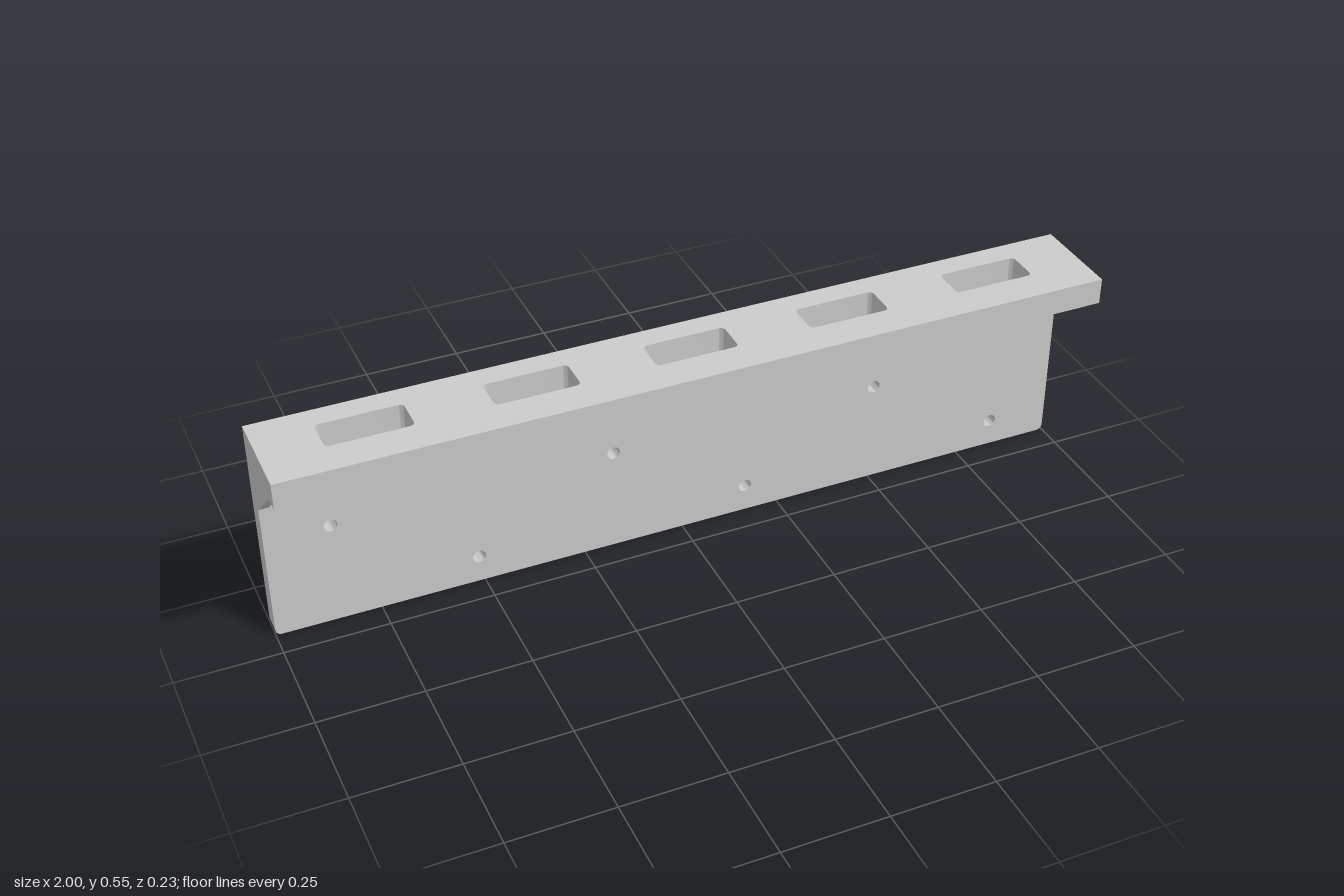
import * as THREE from 'three';
import { toCreasedNormals } from 'three/addons/utils/BufferGeometryUtils.js';

const BACK = -0.115, PLATE_FRONT = -0.065, FRONT = 0.115;
const TOP = 0.545, SHELF_BOTTOM = 0.48;

export function createModel() {
  const model = new THREE.Group();
  const material = new THREE.MeshStandardMaterial({ color: 0xcccccc });

  const extrude = (shape, depth) => toCreasedNormals(
    new THREE.ExtrudeGeometry(shape, { depth, bevelEnabled: false, curveSegments: 12 }), 0.6);
  const add = (name, geometry) => {
    const mesh = new THREE.Mesh(geometry, material);
    mesh.name = name;
    model.add(mesh);
  };

  // Rounded rectangle outline, used for the slots
  const roundedRect = (x0, y0, x1, y1, r) => {
    const p = new THREE.Path();
    p.absarc(x1 - r, y0 + r, r, -Math.PI / 2, 0);
    p.absarc(x1 - r, y1 - r, r, 0, Math.PI / 2);
    p.absarc(x0 + r, y1 - r, r, Math.PI / 2, Math.PI);
    p.absarc(x0 + r, y0 + r, r, Math.PI, Math.PI * 1.5);
    p.closePath();
    return p;
  };

  // Back plate: rounded lower corners and two staggered rows of screw holes
  const r = 0.015;
  const plate = new THREE.Shape();
  plate.moveTo(1, SHELF_BOTTOM);
  plate.lineTo(-1, SHELF_BOTTOM);
  plate.absarc(-1 + r, r, r, Math.PI, Math.PI * 1.5);
  plate.absarc(1 - r, r, r, -Math.PI / 2, 0);
  plate.closePath();
  for (let i = 0; i < 3; i++) {
    for (const [x, y] of [[-0.847, 0.265], [-0.51, 0.07]]) {
      plate.holes.push(new THREE.Path().absarc(x + i * 0.676, y, 0.016, 0, Math.PI * 2, true));
    }
  }
  add('backPlate', extrude(plate, PLATE_FRONT - BACK).translate(0, 0, BACK));

  // Top shelf with five slots, drawn in plan and extruded upwards
  const shelf = new THREE.Shape();
  shelf.moveTo(-1, -FRONT);
  shelf.lineTo(1, -FRONT);
  shelf.lineTo(1, -BACK);
  shelf.lineTo(-1, -BACK);
  shelf.closePath();
  for (let i = -2; i <= 2; i++) {
    const x = i * 0.38;
    shelf.holes.push(roundedRect(x - 0.1, -0.03, x + 0.1, 0.056, 0.012));
  }
  add('shelf', extrude(shelf, TOP - SHELF_BOTTOM).rotateX(-Math.PI / 2).translate(0, SHELF_BOTTOM, 0));

  // Triangular gussets under the shelf, the outer two flush with the ends
  const t = 0.023;
  const gusset = new THREE.Shape();
  gusset.moveTo(PLATE_FRONT, 0.355);
  gusset.lineTo(0.075, SHELF_BOTTOM);
  gusset.lineTo(PLATE_FRONT, SHELF_BOTTOM);
  gusset.closePath();
  for (const x of [-1 + t / 2, -0.574, -0.193, 0.187, 0.568, 1 - t / 2]) {
    add('gusset', extrude(gusset, t).rotateY(-Math.PI / 2).translate(x + t / 2, 0, 0));
  }

  return model;
}
